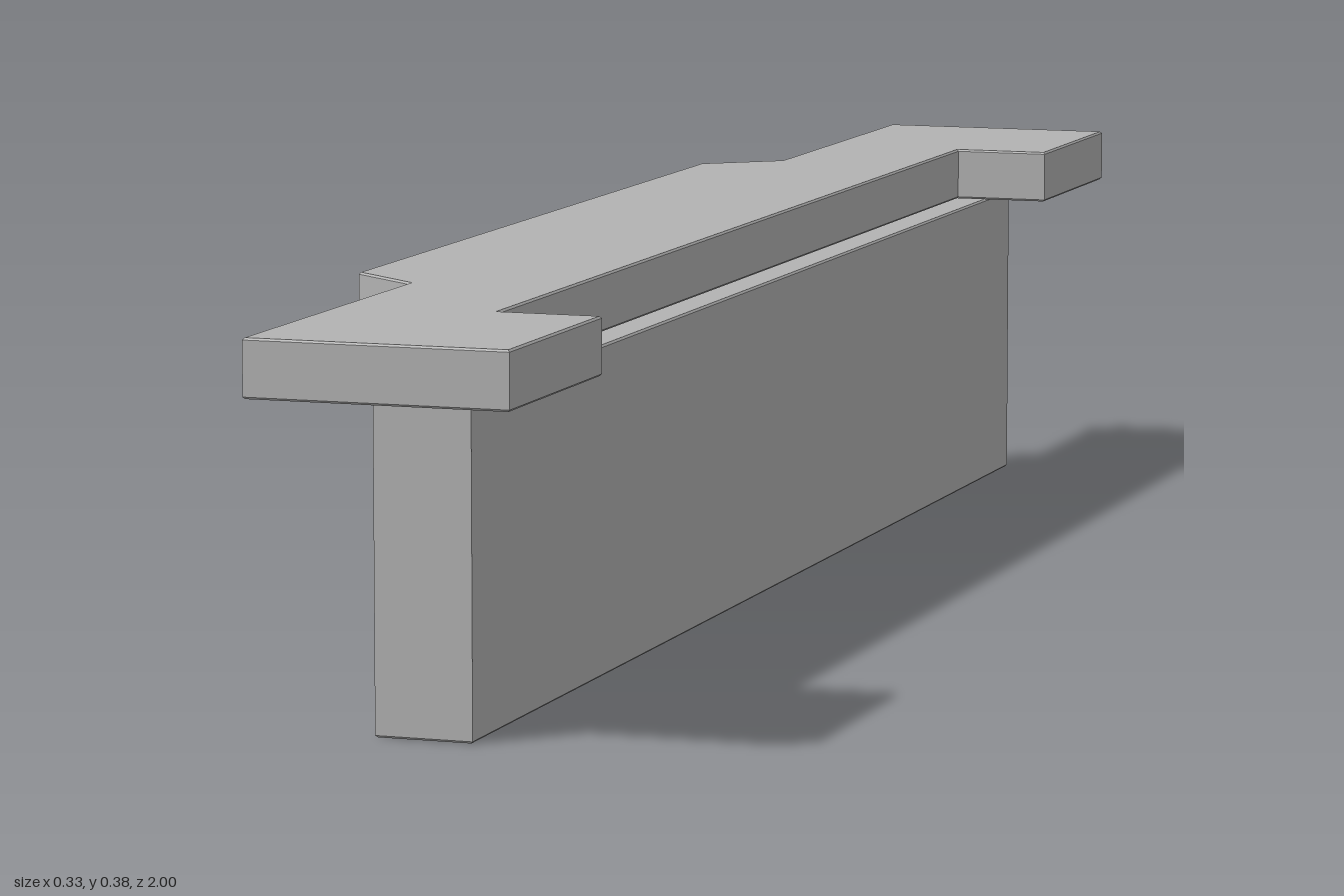
import * as THREE from 'three';

const BEVEL = 0.002;

// Extrudes a plan outline of [x, z] points upward, with finely chamfered edges.
function plate(name, points, bottom, top, material) {
  const shape = new THREE.Shape(points.map(([x, z]) => new THREE.Vector2(x, -z)));
  const geometry = new THREE.ExtrudeGeometry(shape, {
    depth: top - bottom - 2 * BEVEL,
    bevelThickness: BEVEL,
    bevelSize: BEVEL,
    bevelOffset: -BEVEL,
    bevelSegments: 1,
  });
  geometry.rotateX(-Math.PI / 2);
  geometry.translate(0, bottom + BEVEL, 0);
  const mesh = new THREE.Mesh(geometry, material);
  mesh.name = name;
  return mesh;
}

export function createModel() {
  const group = new THREE.Group();
  group.name = 'notchedRail';
  const grey = new THREE.MeshStandardMaterial({ color: 0xb2b2b2 });
  grey.name = 'plain grey';

  // Upright web
  const web = [[-0.011, 0.885], [0.085, 0.885], [0.085, -0.885], [-0.011, -0.885]];
  group.add(plate('web', web, 0, 0.323, grey));

  // Top flange: notched on the left, widened with sloped shoulders on the right
  const half = [
    [0.063, 0.753], [0.165, 0.753], [0.165, 1],
    [-0.092, 1], [-0.092, 0.58], [-0.168, 0.52],
  ];
  const mirrored = half.map(([x, z]) => [x, -z]).reverse();
  group.add(plate('topFlange', [...half, ...mirrored], 0.327, 0.383, grey));

  return group;
}
